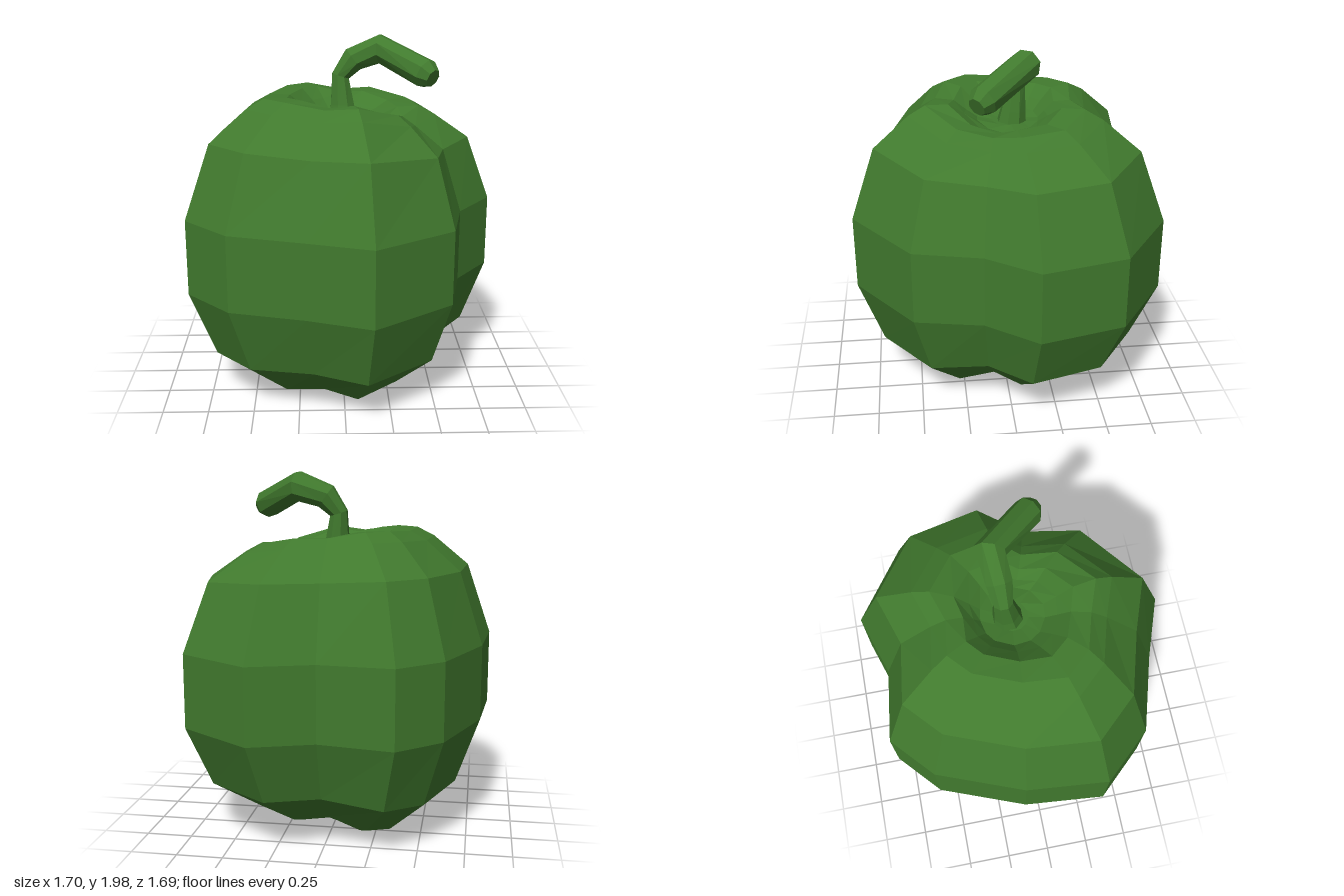
import * as THREE from 'three';

const green = new THREE.MeshStandardMaterial({ color: 0x417a2e, flatShading: true });

// Skin a list of equal-length rings; the first and last ring are closed with a fan.
function loft(rings) {
  const n = rings[0].length, pos = [], index = [];
  for (const ring of rings) for (const p of ring) pos.push(p.x, p.y, p.z);
  for (let j = 0; j < rings.length - 1; j++) {
    for (let i = 0; i < n; i++) {
      const k = (i + 1) % n;
      const a = j * n + i, b = j * n + k, c = b + n, d = a + n;
      index.push(a, b, c, a, c, d);
    }
  }
  const cap = (ring, start, flip) => {
    const centre = ring.reduce((s, p) => s.add(p), new THREE.Vector3()).divideScalar(n);
    const m = pos.length / 3;
    pos.push(centre.x, centre.y, centre.z);
    for (let i = 0; i < n; i++) {
      const a = start + i, b = start + (i + 1) % n;
      if (flip) index.push(m, b, a);
      else index.push(m, a, b);
    }
  };
  cap(rings[0], 0, true);
  cap(rings[rings.length - 1], (rings.length - 1) * n, false);
  const g = new THREE.BufferGeometry();
  g.setAttribute('position', new THREE.Float32BufferAttribute(pos, 3));
  g.setIndex(index);
  const flat = g.toNonIndexed();
  flat.computeVertexNormals();
  return flat;
}

// Irregular lobed outline at the widest level, as [x, z]
const outline = [
  [0.14, 0.84], [0.57, 0.53], [0.65, 0.16], [0.85, -0.11], [0.74, -0.57],
  [0.34, -0.85], [0, -0.74], [-0.4, -0.79], [-0.63, -0.58], [-0.81, -0.11],
  [-0.85, 0.34], [-0.61, 0.6], [-0.2, 0.72],
];

// Levels from the underside hollow to the top hollow:
// [scale, height, roundness, strength of the lobe height variation]
const levels = [
  [0.1, 0.11, 1, 0], [0.24, 0.07, 0.5, 0.5], [0.32, 0.015, 0.2, 1],
  [0.42, 0.01, 0, 1], [0.53, 0.045, 0, 1], [0.84, 0.265, 0, 0.6],
  [1, 0.64, 0, 0.1], [1, 1.06, 0, 0.1], [0.84, 1.465, 0, 0.6],
  [0.61, 1.635, 0, 1], [0.5, 1.685, 0, 1], [0.36, 1.68, 0.2, 1],
  [0.27, 1.62, 0.5, 0.7], [0.2, 1.57, 0.9, 0.3], [0.1, 1.55, 1, 0],
];

function body() {
  const rings = levels.map(([s, y, round, vary]) => outline.map(([x, z]) => {
    const r = Math.hypot(x, z);
    const f = s * THREE.MathUtils.lerp(1, 0.85 / r, round);
    const top = y > 0.85;
    // valleys and the lower right-hand lobe sink towards the middle
    const lean = top ? x / 0.85 : (x - z) / 1.2;
    const sink = vary * (0.08 * Math.max(0, lean) + 0.3 * Math.max(0, 0.85 - r));
    return new THREE.Vector3(x * f, y + (top ? -sink : sink), z * f - 0.03 * round);
  }));
  return loft(rings);
}

// Bent stalk: [x, y, z, radius]
const stalk = [
  [0, 1.52, -0.05, 0.085], [0, 1.61, -0.06, 0.07], [-0.01, 1.77, -0.075, 0.052],
  [0.06, 1.86, -0.08, 0.072], [0.21, 1.915, -0.095, 0.083],
  [0.44, 1.81, 0.14, 0.08], [0.475, 1.79, 0.175, 0.05],
];

function stem(sides = 8) {
  const pts = stalk.map(p => new THREE.Vector3(p[0], p[1], p[2]));
  const front = new THREE.Vector3(0, 0, 1);
  const rings = pts.map((p, j) => {
    const before = pts[Math.max(j - 1, 0)], after = pts[Math.min(j + 1, pts.length - 1)];
    const inDir = p.clone().sub(before).normalize(), outDir = after.clone().sub(p).normalize();
    const t = inDir.add(outDir).normalize();
    // carry the frame along the path so the sides do not twist
    front.addScaledVector(t, -front.dot(t)).normalize();
    const u = front.clone(), v = t.clone().cross(u);
    return Array.from({ length: sides }, (_, i) => {
      const a = (i + 0.5) / sides * Math.PI * 2, r = stalk[j][3];
      return p.clone().addScaledVector(u, Math.cos(a) * r).addScaledVector(v, Math.sin(a) * r);
    });
  });
  return loft(rings);
}

export function createModel() {
  const group = new THREE.Group();
  group.name = 'vegetable';
  const add = (name, geometry) => {
    const mesh = new THREE.Mesh(geometry, green);
    mesh.name = name;
    group.add(mesh);
  };
  add('body', body());
  add('stem', stem());
  return group;
}
